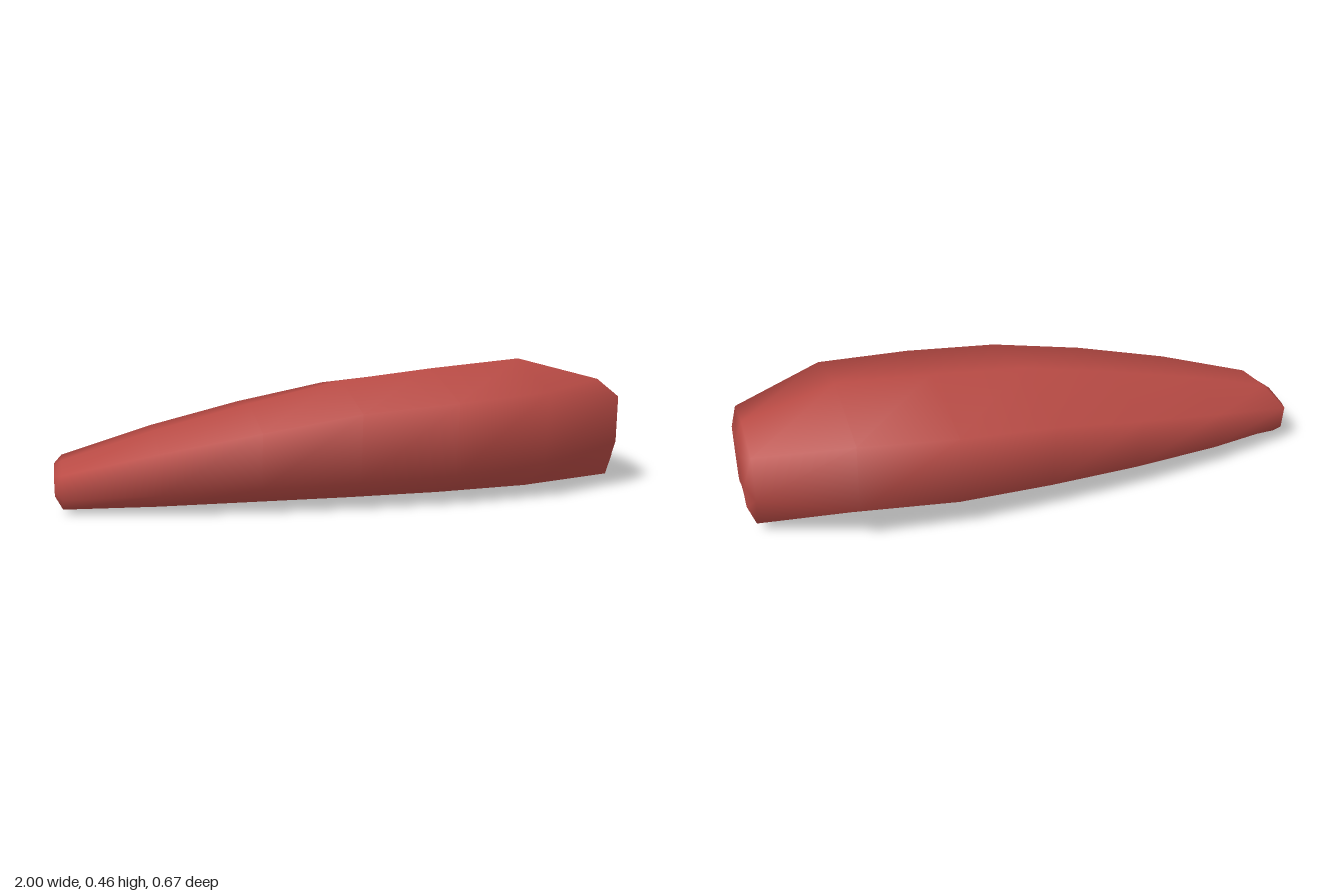
import * as THREE from 'three';

// Half cross-section at each station along x:
// [x, ridgeY, shoulderZ, shoulderY, lowerZ, lowerY, keelY, grooveY]
const stations = [
  [-1.0, 0.145, 0.10, 0.13, 0.10, 0.08, 0.06, 0.075],
  [-0.975, 0.16, 0.16, 0.145, 0.15, 0.06, 0.015, 0.07],
  [-0.66, 0.25, 0.243, 0.22, 0.225, 0.075, 0.006, 0.07],
  [-0.33, 0.33, 0.30, 0.285, 0.276, 0.09, 0.003, 0.07],
  [0, 0.40, 0.328, 0.34, 0.302, 0.10, 0, 0.07],
  [0.33, 0.432, 0.335, 0.365, 0.312, 0.11, 0, 0.07],
  [0.66, 0.457, 0.311, 0.386, 0.285, 0.13, 0.007, 0.07],
  [0.975, 0.37, 0.18, 0.335, 0.175, 0.17, 0.033, 0.075],
  [1.0, 0.31, 0.105, 0.30, 0.105, 0.19, 0.10, 0.12],
];

// Closed ring of [z, y] points with a grooved keel, mirrored across z = 0
function ring([, ridge, sz, sy, lz, ly, keel, groove]) {
  const half = [[sz, sy], [lz, ly], [Math.min(0.1, lz * 0.9), keel], [0.07, keel], [0.045, groove]];
  return [[0, ridge], ...half, ...half.map(([z, y]) => [-z, y]).reverse()];
}

function loftGeometry() {
  const rings = stations.map(ring);
  const n = rings[0].length;
  const positions = [];
  const index = [];
  rings.forEach((r, i) => r.forEach(([z, y]) => positions.push(stations[i][0], y, z)));

  // Skin between neighbouring rings
  for (let i = 0; i < rings.length - 1; i++) {
    for (let j = 0; j < n; j++) {
      const k = (j + 1) % n;
      const a = i * n + j, b = i * n + k, c = b + n, d = a + n;
      index.push(a, b, d, b, c, d);
    }
  }

  // End faces
  const cap = (i, flip) => {
    const outline = rings[i].map(([z, y]) => new THREE.Vector2(-z, y));
    for (const [a, b, c] of THREE.ShapeUtils.triangulateShape(outline, [])) {
      const o = i * n;
      if (flip) index.push(o + a, o + c, o + b);
      else index.push(o + a, o + b, o + c);
    }
  };
  cap(0, true);
  cap(rings.length - 1, false);

  const geometry = new THREE.BufferGeometry();
  geometry.setAttribute('position', new THREE.Float32BufferAttribute(positions, 3));
  geometry.setIndex(index);
  geometry.computeVertexNormals();
  return geometry;
}

export function createModel() {
  const group = new THREE.Group();
  group.name = 'taperedShell';
  const red = new THREE.MeshStandardMaterial({ color: 0xb94b45 });
  red.name = 'brickRed';

  // Tapered body with a channel between two keel rails
  const body = new THREE.Mesh(loftGeometry(), red);
  body.name = 'body';
  group.add(body);
  return group;
}
